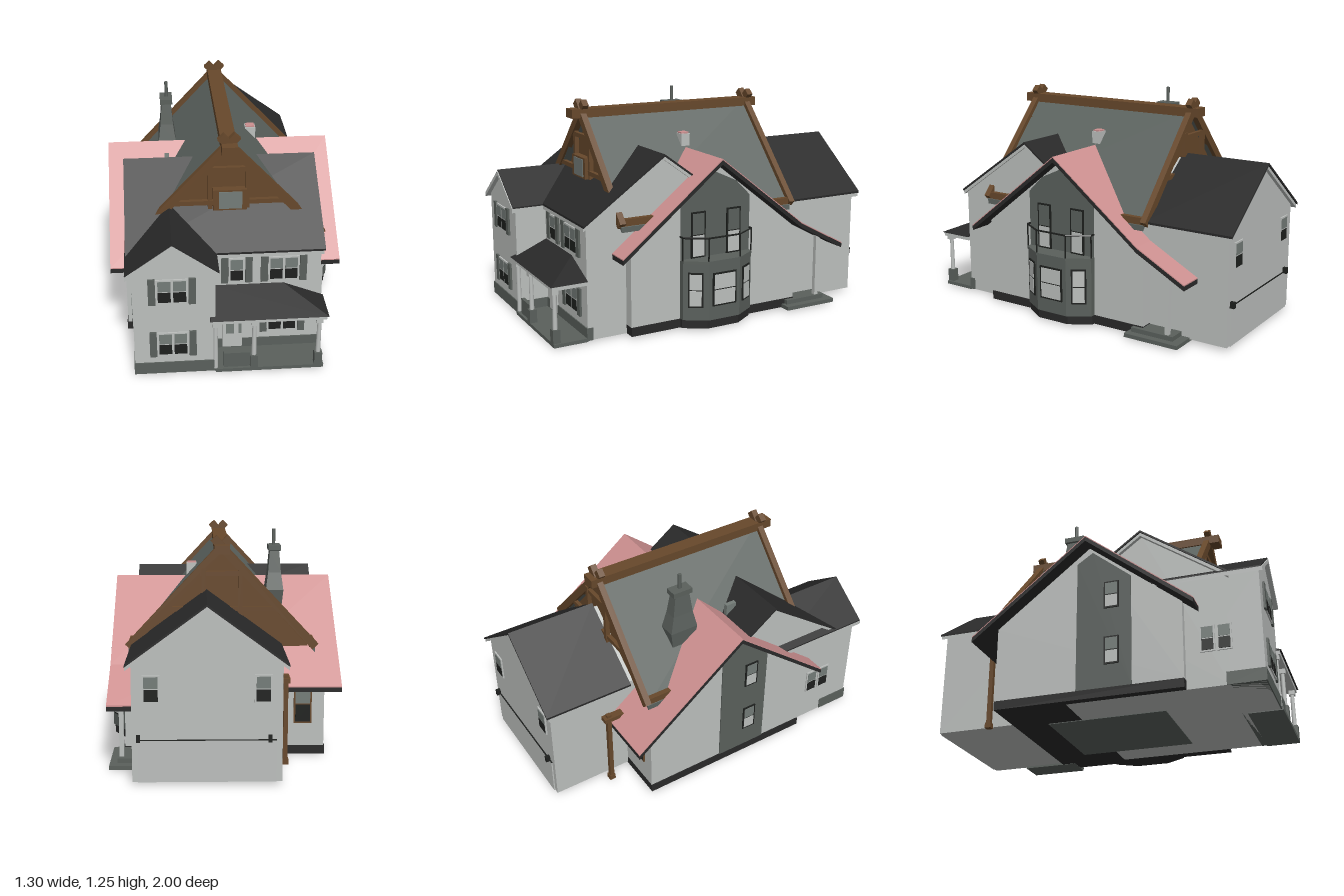
import * as THREE from 'three';
import { ConvexGeometry } from 'three/addons/geometries/ConvexGeometry.js';

export function createModel() {
  const house = new THREE.Group();
  house.name = 'house';
  const material = (name, color) => {
    const m = new THREE.MeshStandardMaterial({ color, side: THREE.DoubleSide });
    m.name = name;
    return m;
  };
  const wall = material('pale wall', 0xbcbfbd);
  const stone = material('grey stone', 0x5a605c);
  const slate = material('black slate', 0x292929);
  const pink = material('pink roof', 0xcd9090);
  const timber = material('brown timber', 0x67482b);
  const shingle = material('green grey shingle', 0x5c635f);
  const dark = material('dark frame', 0x1e201e);
  const glass = material('window glass', 0x747c78);

  const add = (name, geo, mat, parent = house) => {
    const m = new THREE.Mesh(geo, mat);
    m.name = name;
    parent.add(m);
    return m;
  };
  // Box given by its limits on each axis
  const box = (name, mat, x0, x1, y0, y1, z0, z1, parent) => {
    const g = new THREE.BoxGeometry(x1 - x0, y1 - y0, z1 - z0);
    g.translate((x0 + x1) / 2, (y0 + y1) / 2, (z0 + z1) / 2);
    return add(name, g, mat, parent);
  };
  // Profile extruded along x (points are z, y) or along z (points are x, y)
  const prism = (name, mat, pts, axis, a, b) => {
    const shape = new THREE.Shape(pts.map(p => new THREE.Vector2(p[0], p[1])));
    const g = new THREE.ExtrudeGeometry(shape, { depth: b - a, bevelEnabled: false });
    if (axis === 'x') g.rotateY(-Math.PI / 2).translate(b, 0, 0);
    else g.translate(0, 0, a);
    return add(name, g, mat);
  };
  // Bent roof sheet of given thickness, hanging down by drop
  const sheet = (name, mat, pts, axis, a, b, thick, drop = 0) => prism(name, mat,
    [...pts.map(p => [p[0], p[1] - drop]), ...[...pts].reverse().map(p => [p[0], p[1] - drop - thick])], axis, a, b);
  // Straight square beam between two points
  const beam = (name, mat, p, q, w, d) => {
    const a = new THREE.Vector3(...p), b = new THREE.Vector3(...q), dir = b.clone().sub(a);
    const m = add(name, new THREE.BoxGeometry(w, dir.length(), d), mat);
    m.position.copy(a).add(b).multiplyScalar(0.5);
    m.quaternion.setFromUnitVectors(new THREE.Vector3(0, 1, 0), dir.normalize());
    return m;
  };
  // Sash window centred at a point on a wall, turned by angle
  const sash = (x, y, z, w, h, angle, frame = wall, low = dark, high = glass) => {
    const g = new THREE.Group();
    g.name = 'window';
    const s = 0.009;
    box('windowFrame', frame, -w / 2, w / 2, -h / 2, h / 2, -0.004, 0.004, g);
    box('lowerPane', low, -w / 2 + s, w / 2 - s, -h / 2 + s, -0.003, 0, 0.006, g);
    box('upperPane', high, -w / 2 + s, w / 2 - s, 0.003, h / 2 - s, 0, 0.006, g);
    g.position.set(x, y, z);
    g.rotation.y = angle;
    house.add(g);
  };
  // Front window: row of sashes between two shutters
  const shuttered = (x, y, z, count) => {
    const w = count * 0.08;
    for (let i = 0; i < count; i++) sash(x - w / 2 + 0.04 + i * 0.08, y, z, 0.085, 0.145, 0);
    for (const s of [-1, 1]) {
      const c = x + s * (w / 2 + 0.025);
      box('shutter', stone, c - 0.019, c + 0.019, y - 0.078, y + 0.078, z - 0.004, z + 0.008);
    }
  };

  // Front block with its cross gable wing
  prism('frontBlock', wall, [[0.79, 0.01], [0.79, 0.64], [0.33, 0.96], [-0.1, 0.64], [-0.1, 0.01]], 'x', -0.53, 0.48);
  const frontRoof = [[0.81, 0.648], [0.33, 0.985], [-0.1, 0.67]];
  sheet('frontRoof', slate, frontRoof, 'x', -0.56, 0.5, 0.012);
  sheet('frontRoofTrim', wall, frontRoof, 'x', -0.552, 0.492, 0.02, 0.012);
  prism('frontWing', wall, [[-0.53, 0.01], [-0.1, 0.01], [-0.1, 0.65], [-0.32, 0.8], [-0.53, 0.65]], 'z', 0.5, 0.97);
  const wingRoof = [[-0.565, 0.645], [-0.32, 0.82], [-0.08, 0.645]];
  sheet('wingRoof', slate, wingRoof, 'z', 0.35, 0.99, 0.008);
  sheet('wingRoofTrim', wall, wingRoof, 'z', 0.4, 0.995, 0.024, 0.008);
  box('wingFooting', stone, -0.535, -0.095, 0.01, 0.08, 0.77, 0.976);
  box('frontFooting', stone, -0.1, 0.485, 0.01, 0.08, 0.76, 0.796);
  for (const y of [0.2, 0.53]) {
    shuttered(-0.325, y, 0.974, 2);
    shuttered(0.28, y, 0.794, 2);
  }
  shuttered(0.027, 0.53, 0.794, 1);
  for (const z of [0.68, 0.77]) sash(-0.533, 0.28, z, 0.08, 0.15, -Math.PI / 2);

  // Front porch
  const porchPts = [[-0.13, 0.345, 1], [0.5, 0.345, 1], [0.5, 0.345, 0.79], [-0.13, 0.345, 0.79],
    [-0.105, 0.435, 0.79], [0.28, 0.435, 0.79]].map(p => new THREE.Vector3(...p));
  add('porchRoof', new ConvexGeometry(porchPts), slate);
  box('porchFascia', wall, -0.12, 0.49, 0.322, 0.345, 0.79, 0.99);
  box('porchFloor', stone, -0.1, 0.485, 0.005, 0.025, 0.79, 0.985);
  box('porchLowWall', stone, -0.055, 0.085, 0.01, 0.115, 0.95, 0.97);
  box('frontDoor', wall, -0.05, 0.06, 0.03, 0.25, 0.79, 0.798);
  box('doorGlass', glass, -0.03, 0.015, 0.12, 0.23, 0.794, 0.802);
  box('doorSidelight', glass, 0.04, 0.056, 0.12, 0.23, 0.794, 0.802);
  for (const x of [-0.1, 0.107, 0.455]) {
    const c = add('porchColumn', new THREE.CylinderGeometry(0.011, 0.014, 0.3, 12), wall);
    c.position.set(x, 0.175, 0.965);
    box('columnCapital', wall, x - 0.018, x + 0.018, 0.295, 0.322, 0.947, 0.983);
    if (x > 0) box('columnPedestal', stone, x - 0.021, x + 0.021, 0.01, 0.1, 0.944, 0.986);
  }

  // Middle block under the pink roof
  prism('middleBlock', wall, [[0.56, 0.06], [0.56, 0.5], [0.04, 0.915], [-0.5, 0.49], [-0.5, 0.06]], 'x', -0.57, 0.54);
  box('middleFooting', slate, -0.575, 0.545, 0.01, 0.06, -0.5, 0.56);
  box('floorPanel', stone, -0.28, 0.3, 0.006, 0.014, -0.3, 0.38);
  const leftSlope = [[0.64, 0.475], [0.04, 0.953], [-0.62, 0.43]];
  const rightSlope = [[0.64, 0.475], [0.04, 0.953], [-0.5, 0.53], [-0.79, 0.375]];
  for (const [pts, a, b] of [[leftSlope, -0.65, 0.1], [rightSlope, 0.1, 0.615]]) {
    sheet('pinkRoof', pink, pts, 'x', a, b, 0.006);
    sheet('pinkRoofUnderside', slate, pts, 'x', a, b, 0.026, 0.006);
  }
  prism('rightGablePanel', stone, [[0.26, 0.06], [0.26, 0.72], [0.17, 0.81], [0.04, 0.87], [-0.09, 0.81], [-0.18, 0.72], [-0.18, 0.06]], 'x', 0.54, 0.546);
  prism('leftGablePanel', stone, [[0.28, 0.06], [0.28, 0.7], [0.06, 0.88], [-0.03, 0.82], [-0.03, 0.06]], 'x', -0.576, -0.57);
  for (const y of [0.27, 0.6]) sash(-0.578, y, 0.17, 0.085, 0.16, -Math.PI / 2, dark, wall, glass);
  sash(-0.45, 0.3, -0.504, 0.1, 0.22, Math.PI, timber, dark, glass);

  // Bay with tall windows and railing above
  const bay = [[0.26, 0.53], [0.26, 0.57], [0.14, 0.645], [-0.06, 0.645], [-0.18, 0.57], [-0.18, 0.53]];
  const bayLayer = (name, mat, y0, y1, grow) => {
    const s = new THREE.Shape(bay.map(([z, x]) => new THREE.Vector2(x + grow, -z)));
    const g = new THREE.ExtrudeGeometry(s, { depth: y1 - y0, bevelEnabled: false });
    g.rotateX(-Math.PI / 2).translate(0, y0, 0);
    add(name, g, mat);
  };
  bayLayer('bayFooting', slate, 0.01, 0.06, -0.01);
  bayLayer('bayWall', stone, 0.06, 0.385, 0);
  bayLayer('bayTop', stone, 0.385, 0.4, 0.006);
  const side = Math.atan2(0.075, 0.12);
  sash(0.648, 0.235, 0.04, 0.15, 0.19, Math.PI / 2, dark, wall, wall);
  for (const s of [-1, 1]) {
    sash(0.61, 0.235, 0.04 + s * 0.162, 0.085, 0.2, Math.PI / 2 - s * (Math.PI / 2 - (Math.PI / 2 - side)), dark, wall, wall);
    sash(0.55, 0.53, 0.04 + s * 0.113, 0.09, 0.26, Math.PI / 2, dark, wall, stone);
  }
  for (let i = 0; i < bay.length - 1; i++)
    beam('balconyRail', dark, [bay[i][1], 0.53, bay[i][0]], [bay[i + 1][1], 0.53, bay[i + 1][0]], 0.008, 0.008);
  for (const [z, x] of bay) beam('balconyPost', dark, [x, 0.4, z], [x, 0.53, z], 0.006, 0.006);

  // Side porch at the back
  box('sidePorchFloor', stone, 0.45, 0.57, 0.03, 0.055, -0.7, -0.44);
  box('sidePorchStep', stone, 0.45, 0.61, 0.008, 0.03, -0.75, -0.42);
  box('sidePorchPost', wall, 0.535, 0.56, 0.05, 0.43, -0.67, -0.645);

  // Back block with garage door
  prism('backBlock', wall, [[-0.3, 0.02], [0.47, 0.02], [0.47, 0.635], [0.085, 0.915], [-0.3, 0.635]], 'z', -0.97, -0.4);
  const backRoof = [[-0.33, 0.64], [0.085, 0.945], [0.5, 0.64]];
  sheet('backRoof', slate, backRoof, 'z', -1, -0.48, 0.012);
  sheet('backRoofTrim', wall, backRoof, 'z', -0.992, -0.48, 0.02, 0.012);
  box('garageDoor', wall, -0.27, 0.44, 0.02, 0.24, -0.977, -0.969);
  box('garageDoorHead', dark, -0.27, 0.44, 0.24, 0.244, -0.977, -0.969);
  for (const x of [-0.2, 0.37]) {
    sash(x, 0.51, -0.974, 0.09, 0.145, Math.PI);
    box('wallLamp', dark, x * 1.18 - 0.01, x * 1.18 + 0.01, 0.235, 0.27, -0.995, -0.97);
  }

  // Steep timber roof crossing the house
  prism('steepGable', timber, [[-0.48, 0.62], [0.48, 0.62], [0, 1.145]], 'z', -0.45, 0.55);
  sheet('steepRoof', shingle, [[-0.515, 0.62], [0, 1.175], [0.515, 0.62]], 'z', -0.48, 0.6, 0.03);
  box('ridgeBeam', timber, -0.042, 0.042, 1.14, 1.19, -0.54, 0.67);
  for (const z of [-0.485, 0.597]) {
    for (const s of [-1, 1]) {
      beam('bargeBoard', timber, [s * 0.515, 0.625, z], [-s * 0.045, 1.225, z + s * 0.004], 0.045, 0.035);
      box('gablePost', timber, s * 0.1 - 0.012, s * 0.1 + 0.012, 0.8, 1.06, z - 0.02, z + 0.005);
    }
    box('gableTie', timber, -0.3, 0.3, 0.825, 0.85, z - 0.015, z + 0.008);
    box('collarTie', timber, -0.12, 0.12, 1.02, 1.045, z - 0.015, z + 0.008);
  }
  for (const s of [-1, 1]) beam('eavePurlin', timber, [s * 0.498, 0.64, -0.49], [s * 0.498, 0.64, 0.615], 0.03, 0.04);
  box('gableWindowFrame', timber, -0.085, 0.095, 0.8, 0.92, 0.58, 0.622);
  box('gableWindow', glass, -0.055, 0.07, 0.81, 0.91, 0.618, 0.626);

  // Chimneys and vents
  const stack = new THREE.LatheGeometry([[0, 0.7], [0.05, 0.72], [0.075, 0.9], [0.055, 1.0], [0.04, 1.12], [0.053, 1.125],
    [0.053, 1.155], [0, 1.155]].map(p => new THREE.Vector2(...p)), 4, Math.PI / 4).toNonIndexed();
  stack.scale(0.95, 1, 1.6);
  stack.computeVertexNormals();
  add('chimney', stack, stone).position.set(-0.308, 0, -0.145);
  add('chimneyPipe', new THREE.CylinderGeometry(0.01, 0.01, 0.1, 12), stone).position.set(-0.305, 1.195, -0.145);
  box('ventStack', wall, 0.14, 0.2, 0.93, 1.03, 0.01, 0.065);
  box('ventCap', pink, 0.145, 0.195, 1.028, 1.038, 0.015, 0.06);
  box('smallVent', glass, -0.33, -0.305, 0.82, 0.93, 0.16, 0.225);

  // Carved post at the back corner
  box('cornerPost', timber, -0.355, -0.33, 0, 0.5, -0.65, -0.625);
  box('cornerPostArm', timber, -0.365, -0.32, 0.46, 0.485, -0.67, -0.54);
  box('cornerPostFoot', timber, -0.36, -0.325, 0, 0.03, -0.655, -0.62);
  return house;
}
